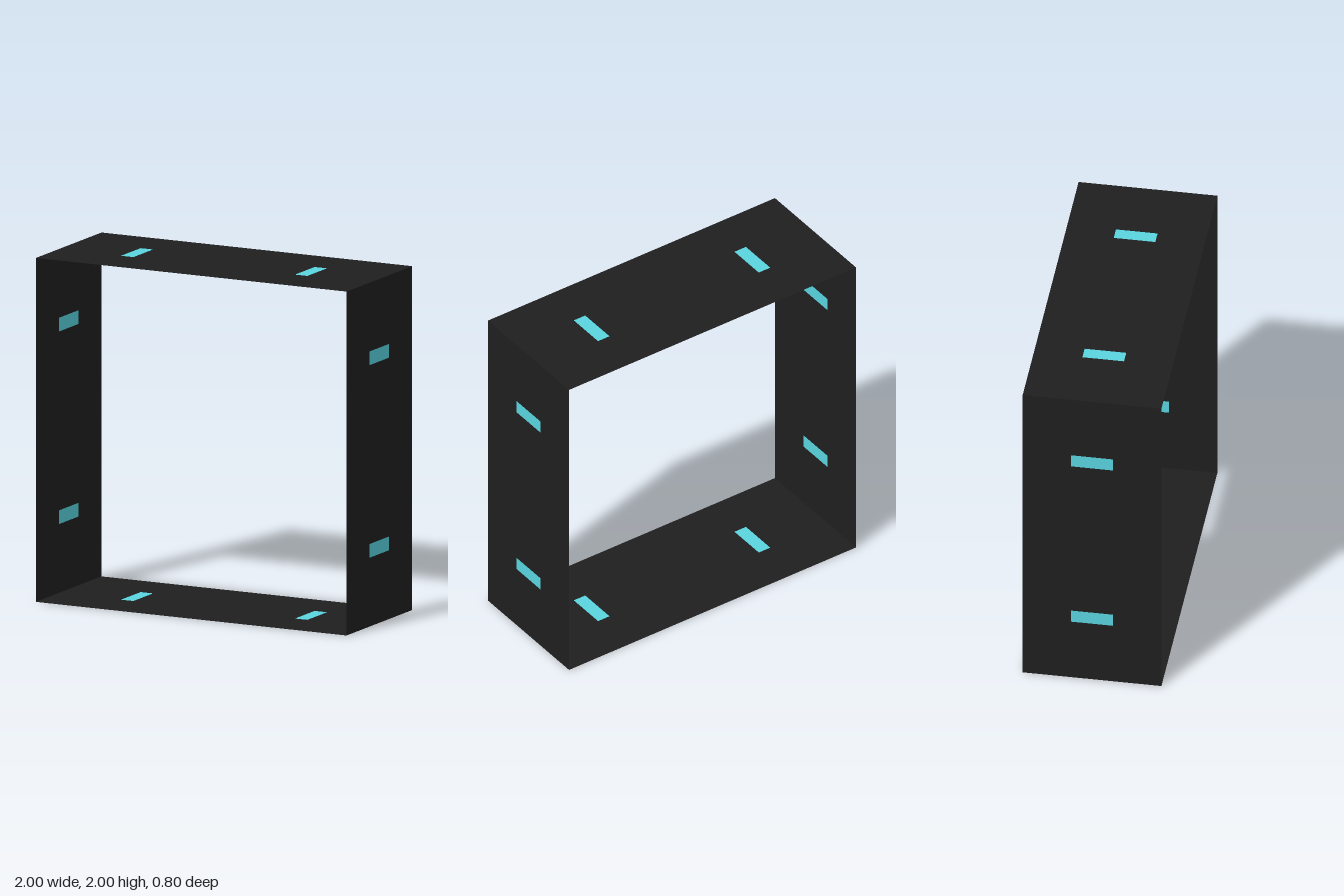
import * as THREE from 'three';

const LENGTH = 2, DEPTH = 0.8;
const LIGHT_X = 0.56, LIGHT_W = 0.08, LIGHT_D = 0.24;

// Traces a w by h rectangle centred on (cx, cy)
function rectangle(path, cx, cy, w, h) {
  path.moveTo(cx - w / 2, cy - h / 2);
  path.lineTo(cx + w / 2, cy - h / 2);
  path.lineTo(cx + w / 2, cy + h / 2);
  path.lineTo(cx - w / 2, cy + h / 2);
  path.closePath();
  return path;
}

export function createModel() {
  const model = new THREE.Group();
  model.name = 'squareFrame';

  const dark = new THREE.MeshStandardMaterial({ color: 0x1f1f1f, side: THREE.DoubleSide });
  const cyan = new THREE.MeshStandardMaterial({ color: 0x59d4df, side: THREE.DoubleSide });

  // Thin panel with two slots, and the light strip that fills a slot
  const outline = rectangle(new THREE.Shape(), 0, 0, LENGTH, DEPTH);
  for (const s of [-1, 1]) {
    outline.holes.push(rectangle(new THREE.Path(), s * LIGHT_X, 0, LIGHT_W, LIGHT_D));
  }
  const panelGeometry = new THREE.ShapeGeometry(outline).rotateX(-Math.PI / 2);
  const lightGeometry = new THREE.PlaneGeometry(LIGHT_W, LIGHT_D).rotateX(-Math.PI / 2);

  // Four sides around the z axis, each facing outward
  ['top', 'left', 'bottom', 'right'].forEach((name, i) => {
    const side = new THREE.Group();
    side.name = name + 'Side';

    const panel = new THREE.Mesh(panelGeometry, dark);
    panel.name = name + 'Panel';
    panel.position.y = LENGTH / 2;
    side.add(panel);

    for (const s of [-1, 1]) {
      const light = new THREE.Mesh(lightGeometry, cyan);
      light.name = name + 'LightStrip' + (s < 0 ? 'A' : 'B');
      light.position.set(s * LIGHT_X, LENGTH / 2, 0);
      side.add(light);
    }

    side.rotation.z = -i * Math.PI / 2;
    side.position.y = LENGTH / 2;
    model.add(side);
  });

  return model;
}
